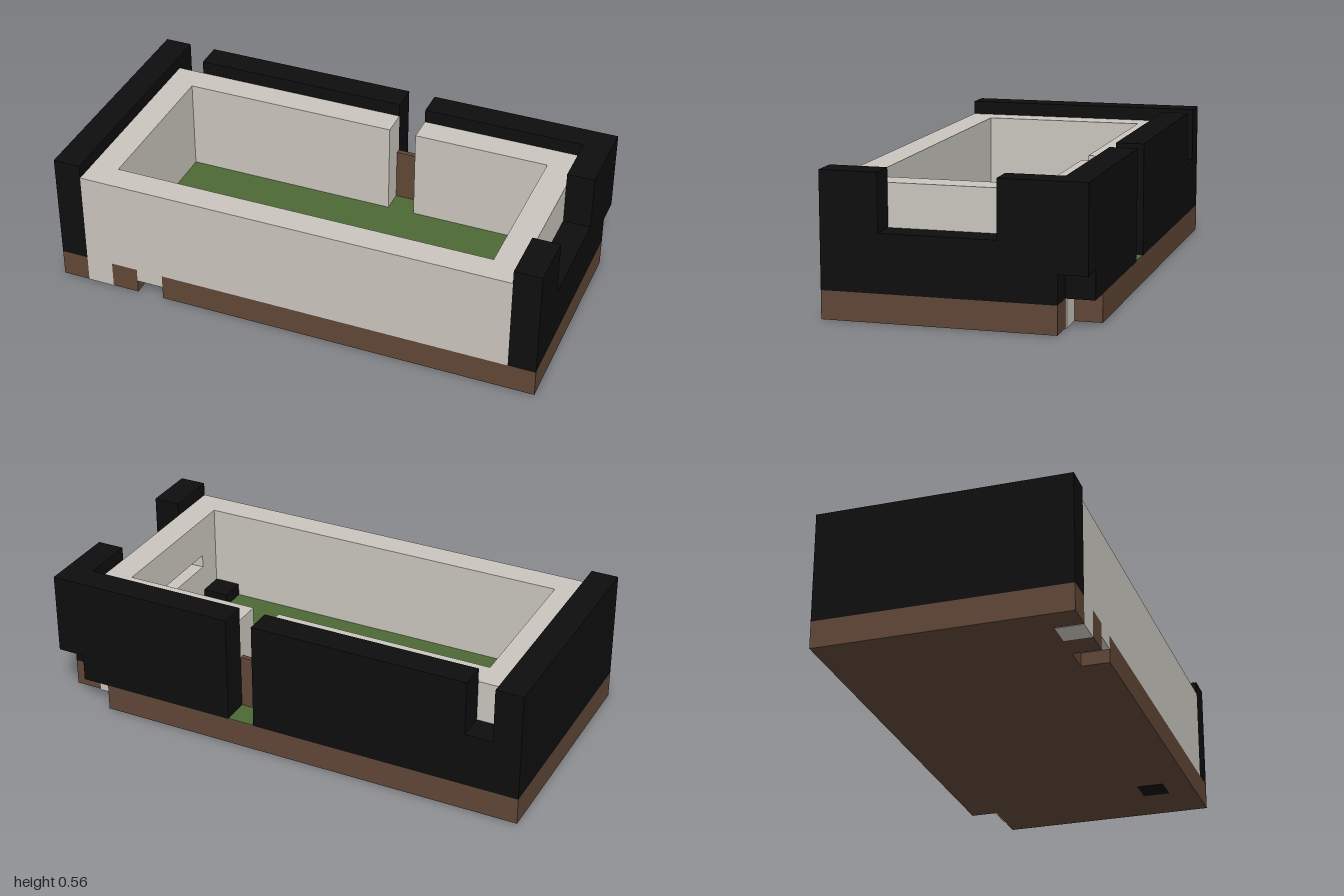
import * as THREE from 'three';

const U = 1 / 9; // one block

const mat = (name, color) => {
  const m = new THREE.MeshStandardMaterial({ color });
  m.name = name;
  return m;
};

export function createModel() {
  const model = new THREE.Group();
  model.name = 'walledYard';
  const black = mat('black stone', 0x0e0e0e);
  const brown = mat('brown earth', 0x5f4636);
  const grey = mat('pale stone', 0xc9c5bd);
  const green = mat('green grass', 0x4e6835);

  // Box between block coordinates
  const block = (name, material, [x0, x1], [y0, y1], [z0, z1]) => {
    const g = new THREE.BoxGeometry((x1 - x0) * U, (y1 - y0) * U, (z1 - z0) * U);
    const m = new THREE.Mesh(g, material);
    m.name = name;
    m.position.set((x0 + x1) / 2 * U, (y0 + y1) / 2 * U, (z0 + z1) / 2 * U);
    model.add(m);
  };

  const BACK = [-4.5, -3.5], INNER_BACK = [-3.5, -2.5], FRONT = [3.5, 4.5];

  // Earth base, with a notch in the front edge and a cut back corner
  const base = [0.02, 1];
  block('earthBase', brown, [-9, 9], base, [-3.5, 3.5]);
  block('earthBackEdge', brown, [-9, 7], base, BACK);
  block('earthFrontEdge', brown, [-5, 9], base, FRONT);
  block('earthFrontBlock', brown, [-7, -6], base, FRONT);
  block('earthFrontCorner', brown, [-9, -8], base, FRONT);

  // Grass floor and doorway path
  block('grassFloor', green, [-7, 7], [1, 1.03], [-2.5, 3.5]);
  block('grassPath', green, [1, 2], [1, 1.03], [-4.5, -2.5]);

  // Pale inner walls
  const inner = [1, 4.5];
  block('innerFrontWall', grey, [-8, 8], inner, FRONT);
  block('innerFrontFoot', grey, [-8, -7], [0, 1], FRONT);
  block('innerFrontLintel', grey, [-6, -5], [0.5, 1], FRONT);
  block('innerRightWall', grey, [-8, -7], inner, [-3.5, 3.5]);
  block('innerBackWallRight', grey, [-7, 1], inner, INNER_BACK);
  block('innerBackWallLeft', grey, [2, 7], inner, INNER_BACK);
  block('innerBackFoot', grey, [7, 8], [0.02, 1], [-3.55, -3.5]);

  // Left inner wall with a low slot
  block('innerLeftWallBase', grey, [7, 8], [1, 2.5], [-3.5, 3.5]);
  block('innerLeftWallTop', grey, [7, 8], [3, 4.5], [-3.5, 3.5]);
  block('innerLeftWallBack', grey, [7, 8], [2.5, 3], [-3.5, -1.5]);
  block('innerLeftWallFront', grey, [7, 8], [2.5, 3], [2.5, 3.5]);

  // Black outer side walls, the left one notched
  block('outerRightWall', black, [-9, -8], [1, 5], [-4.5, 4.5]);
  block('outerLeftWallBase', black, [8, 9], [1, 3], [-3.5, 4.5]);
  block('outerLeftWallBack', black, [8, 9], [3, 5], [-3.5, -1.5]);
  block('outerLeftWallFront', black, [8, 9], [3, 5], [2.5, 4.5]);

  // Black outer back wall with notch and doorway
  block('outerBackWallLow', black, [-8, -7], [1, 3], BACK);
  block('outerBackWallMiddle', black, [-7, 1], [1, 5], BACK);
  block('outerBackWallLeft', black, [2, 8], [1, 5], BACK);
  block('outerBackCorner', black, [8, 9], [2, 5], BACK);

  // Door and corner post
  block('door', brown, [1, 2], [1.03, 3], [-3.5, -3.32]);
  block('cornerPost', black, [6, 6.98], [0, 1.5], [2.5, 3.48]);

  return model;
}
